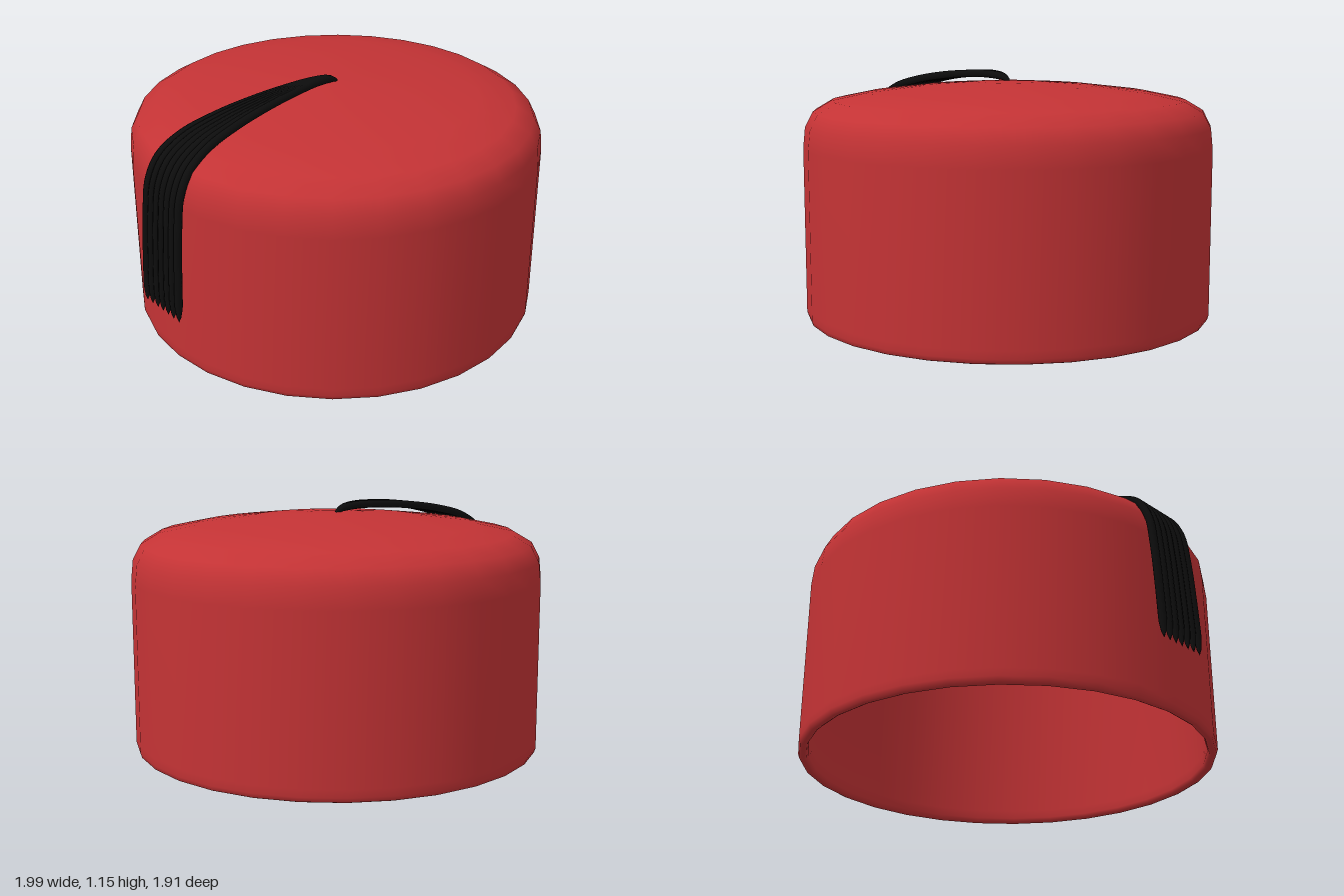
import * as THREE from 'three';

const CENTRE_X = 0.03;

// Hollow domed cap: inner wall down, around the rim, outer wall up
function createCap(material) {
  const profile = [
    [0, 1.05], [0.4, 1.035], [0.64, 1.005], [0.79, 0.97], [0.865, 0.93], [0.9, 0.87], [0.912, 0.78],
    [0.914, 0.06], [0.914, 0.02], [0.922, 0.004], [0.93, 0],
    [0.944, 0], [0.953, 0.004], [0.96, 0.025], [0.96, 0.06],
    [0.96, 0.8], [0.95, 0.895], [0.914, 0.965], [0.83, 1.015], [0.66, 1.05], [0.4, 1.08], [0.15, 1.096], [0, 1.1],
  ].map(([r, y]) => new THREE.Vector2(r, y));
  const cap = new THREE.Mesh(new THREE.LatheGeometry(profile, 30, Math.PI / 2), material);
  cap.position.x = CENTRE_X;
  cap.name = 'cap';
  return cap;
}

// One tassel strand: a tube over the crown, tapered to a point at both ends
function createStrand(offset, material) {
  const path = new THREE.CatmullRomCurve3([
    [0.045, 1.09], [0, 1.115], [-0.1, 1.127], [-0.22, 1.125], [-0.4, 1.112], [-0.6, 1.083], [-0.77, 1.038],
    [-0.88, 0.968], [-0.935, 0.87], [-0.957, 0.73], [-0.974, 0.5], [-0.985, 0.27],
  ].map(([x, y]) => new THREE.Vector3(x, y, offset * (0.045 - x) / 1.03)));
  const rows = 64, sides = 8;
  const geometry = new THREE.TubeGeometry(path, rows, 0.018, sides);
  const position = geometry.attributes.position;
  const vertex = new THREE.Vector3();
  for (let i = 0; i <= rows; i++) {
    const t = i / rows;
    const centre = path.getPointAt(t);
    const taper = Math.sqrt(Math.min(1, t / 0.05, (1 - t) / 0.05));
    for (let j = 0; j <= sides; j++) {
      const k = i * (sides + 1) + j;
      vertex.fromBufferAttribute(position, k).sub(centre).multiplyScalar(taper).add(centre);
      position.setXYZ(k, vertex.x, vertex.y, vertex.z);
    }
  }
  const strand = new THREE.Mesh(geometry, material);
  strand.name = 'tasselStrand';
  return strand;
}

export function createModel() {
  const model = new THREE.Group();
  model.name = 'tasselledCap';
  const red = new THREE.MeshStandardMaterial({ color: 0xc43335 });
  const black = new THREE.MeshStandardMaterial({ color: 0x0d0d0d });
  model.add(createCap(red));

  // Seven strands fanning out from the crown centre
  const tassel = new THREE.Group();
  tassel.name = 'tassel';
  for (let i = -3; i <= 3; i++) tassel.add(createStrand(i * 0.041, black));
  model.add(tassel);
  return model;
}
